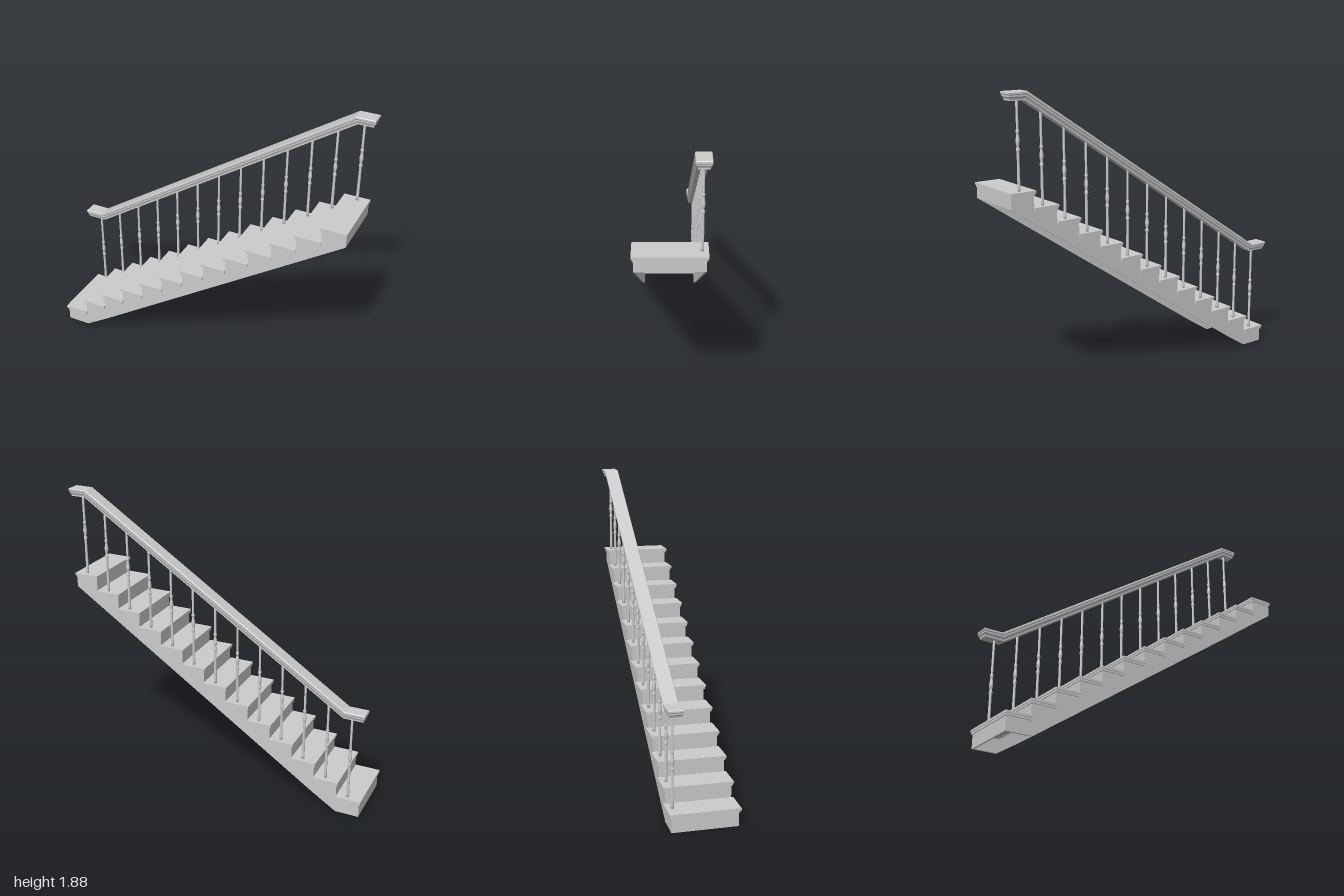
import * as THREE from 'three';

const STEPS = 13, RUN = 0.152, RISE = 0.1003;
const X0 = -0.997, Y0 = 0.113;          // nose and top of the first tread
const HALF = 0.198, MID = 0.004;        // half width and middle of the flight in z
const RAIL_Z = -0.17;
const mat = new THREE.MeshStandardMaterial({ color: 0xcccccc });

const noseX = i => X0 + i * RUN;
const topY = i => Y0 + i * RISE;

function add(parent, name, geometry, x = 0, y = 0, z = 0) {
  const mesh = new THREE.Mesh(geometry, mat);
  mesh.name = name;
  mesh.position.set(x, y, z);
  parent.add(mesh);
  return mesh;
}

// Box given by its limits in x and y and its half width in z
function slab(parent, name, xa, xb, ya, yb, halfZ) {
  return add(parent, name, new THREE.BoxGeometry(xb - xa, yb - ya, halfZ * 2),
    (xa + xb) / 2, (ya + yb) / 2, MID);
}

// Saw-toothed side board with a sloping underside
function stringerGeometry(thickness) {
  const s = new THREE.Shape();
  s.moveTo(noseX(0) + 0.01, 0);
  for (let i = 0; i < STEPS; i++) {
    const y = topY(i) - 0.014;
    s.lineTo(noseX(i) + 0.01, y);
    s.lineTo(i === STEPS - 1 ? 0.986 : noseX(i + 1) + 0.01, y);
  }
  s.lineTo(0.986, 1.222);
  s.lineTo(-0.686, 0.095);
  s.lineTo(-0.836, 0);
  return new THREE.ExtrudeGeometry(s, { depth: thickness, bevelEnabled: false });
}

// Handrail: moulded section swept along level, slope, level with mitred bends
const railPath = [[-0.995, 0.725], [-0.872, 0.725], [0.873, 1.878], [0.993, 1.878]];
const slope = (railPath[2][1] - railPath[1][1]) / (railPath[2][0] - railPath[1][0]);
const MITRE = Math.tan(Math.atan(slope) / 2);
const RAIL_DEPTH = 0.049;

function railGeometry() {
  // half width and depth below the top, down one side
  const side = [[0.041, 0], [0.045, 0.004], [0.045, 0.013], [0.041, 0.018],
    [0.041, 0.027], [0.036, 0.034], [0.033, 0.042], [0.033, RAIL_DEPTH]];
  const ring = [...side, ...side.map(([w, d]) => [-w, d]).reverse()];
  const n = ring.length;
  const point = (k, j) => {
    const [w, d] = ring[j % n], [x, y] = railPath[k];
    const inset = 0.045 - Math.abs(w);   // moulding returns around the ends
    const shift = k === 0 ? inset : k === 3 ? -inset : MITRE * d;
    return [x + shift, y - d, RAIL_Z + w];
  };
  const pos = [];
  const quad = (a, b, c, d) => pos.push(...a, ...b, ...c, ...a, ...c, ...d);
  for (let k = 0; k < 3; k++) {
    for (let j = 0; j < n; j++) {
      quad(point(k, j), point(k, j + 1), point(k + 1, j + 1), point(k + 1, j));
    }
  }
  for (let j = 0; j < side.length - 1; j++) {
    quad(point(3, j), point(3, j + 1), point(3, n - 2 - j), point(3, n - 1 - j));
    quad(point(0, n - 1 - j), point(0, n - 2 - j), point(0, j + 1), point(0, j));
  }
  const g = new THREE.BufferGeometry();
  g.setAttribute('position', new THREE.Float32BufferAttribute(pos, 3));
  g.computeVertexNormals();
  return g;
}

// Height of the rail's underside at x
function railBottom(x) {
  const shift = MITRE * RAIL_DEPTH;
  const t = THREE.MathUtils.clamp(x - railPath[1][0] - shift, 0, railPath[2][0] - railPath[1][0]);
  return railPath[1][1] - RAIL_DEPTH + t * slope;
}

// Turned baluster: tapered shafts with a small vase between two beads
function balusterGeometry(length) {
  const profile = [[0, 0], [0.009, 0], [0.009, 0.02], [0.0075, 0.222],
    [0.0105, 0.229], [0.0115, 0.236], [0.0105, 0.243], [0.007, 0.25],
    [0.0085, 0.262], [0.0115, 0.276], [0.012, 0.286], [0.0105, 0.3], [0.0075, 0.318],
    [0.007, 0.326], [0.01, 0.332], [0.0105, 0.338], [0.01, 0.344], [0.007, 0.351],
    [0.0075, length], [0, length]];
  return new THREE.LatheGeometry(profile.map(([r, y]) => new THREE.Vector2(r, y)), 14);
}

export function createModel() {
  const model = new THREE.Group();
  model.name = 'staircase';

  // Side boards
  const board = stringerGeometry(0.012);
  add(model, 'leftStringer', board, 0, 0, MID + HALF - 0.012);
  add(model, 'rightStringer', board, 0, 0, MID - HALF);

  // Treads with a moulding under the nose, and risers; open beneath
  for (let i = 0; i < STEPS; i++) {
    const step = new THREE.Group();
    step.name = 'step' + (i + 1);
    const x = noseX(i), y = topY(i);
    const end = i === STEPS - 1 ? 0.991 : x + 0.163;
    slab(step, 'tread', x, end, y - 0.014, y, HALF + 0.012);
    slab(step, 'noseMoulding', x + 0.004, end - 0.003, y - 0.027, y - 0.014, HALF + 0.007);
    const low = i === 0 ? 0 : topY(i - 1) - 0.027;
    slab(step, 'riser', x + 0.01, x + 0.02, low, y - 0.014, HALF - 0.002);
    model.add(step);
  }
  slab(model, 'topEndPlate', 0.976, 0.986, 1.222, topY(STEPS - 1) - 0.014, HALF - 0.002);

  // Balustrade
  const balustrade = new THREE.Group();
  balustrade.name = 'balustrade';
  for (let i = 0; i < STEPS; i++) {
    const x = noseX(i) + 0.092;
    add(balustrade, 'baluster', balusterGeometry(railBottom(x) - topY(i) + 0.008), x, topY(i), RAIL_Z);
  }
  add(balustrade, 'handrail', railGeometry());
  model.add(balustrade);
  return model;
}
